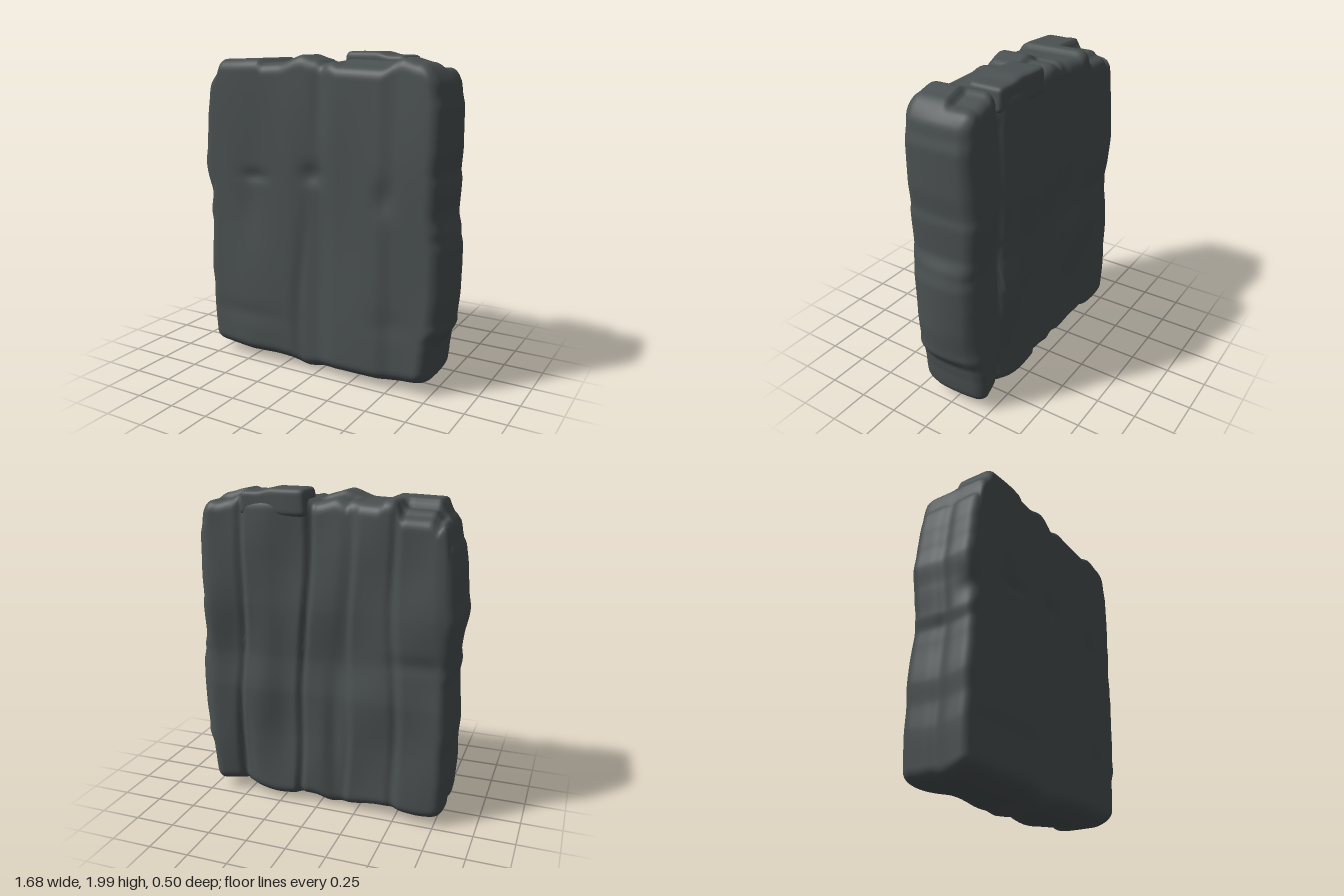
import * as THREE from 'three';
import { mergeVertices } from 'three/addons/utils/BufferGeometryUtils.js';

const { lerp, clamp, smoothstep } = THREE.MathUtils;

// Softly stepped profile through [position, value] pairs
function profile(points) {
  return (t) => {
    let i = 1;
    while (i < points.length - 1 && t > points[i][0]) i++;
    const [a, va] = points[i - 1], [b, vb] = points[i];
    const k = clamp((t - a) / (b - a), 0, 1);
    return lerp(va, vb, lerp(k, smoothstep(k, 0, 1), 0.6));
  };
}

// Outline of the slab
const rightSide = profile([[0.06, 0.745], [0.2, 0.758], [0.3, 0.77], [0.4, 0.82], [0.6, 0.836], [0.9, 0.838],
  [1.0, 0.82], [1.1, 0.788], [1.3, 0.795], [1.36, 0.787], [1.5, 0.798], [1.75, 0.798], [1.84, 0.78], [1.95, 0.765]]);
const leftSide = profile([[0.05, -0.8], [0.35, -0.815], [0.5, -0.81], [0.65, -0.82], [0.9, -0.805], [1.0, -0.8],
  [1.1, -0.815], [1.3, -0.827], [1.46, -0.842], [1.6, -0.825], [1.75, -0.815], [1.95, -0.79]]);
// How much the right side falls away towards front and back
const rightCurve = profile([[0.1, 0.025], [0.3, 0.025], [0.45, 0.055], [0.95, 0.055], [1.1, 0.02], [1.9, 0.016]]);
const topEdge = profile([[-0.81, 1.72], [-0.77, 1.74], [-0.75, 1.83], [-0.71, 1.87], [-0.67, 1.95], [-0.4, 1.958],
  [-0.36, 1.93], [-0.24, 1.935], [-0.1, 1.982], [0, 1.955], [0.04, 1.93], [0.14, 1.955], [0.47, 1.945],
  [0.55, 1.972], [0.66, 1.945], [0.76, 1.89]]);
const bottomEdge = profile([[-0.8, 0.05], [-0.5, 0.035], [-0.3, 0.04], [-0.2, 0.035], [-0.07, 0.006], [0.04, 0.025],
  [0.12, 0.03], [0.4, 0.033], [0.6, 0.05], [0.75, 0.065]]);

// Front and back relief
const frontX = profile([[-0.8, 0.232], [-0.5, 0.243], [-0.2, 0.235], [0.02, 0.215], [0.15, 0.232], [0.42, 0.238],
  [0.52, 0.222], [0.8, 0.222]]);
const backY = profile([[0.1, 0.006], [0.45, 0.006], [0.75, 0.016], [0.98, -0.002], [1.3, 0.012], [1.6, 0.005], [1.9, 0]]);
const backX = profile([[-0.8, 0.215], [-0.7, 0.232], [-0.5, 0.23], [-0.455, 0.208], [-0.42, 0.22], [-0.24, 0.212],
  [-0.2, 0.19], [-0.12, 0.2], [0.02, 0.198], [0.05, 0.18], [0.09, 0.213], [0.3, 0.22], [0.45, 0.213],
  [0.48, 0.18], [0.53, 0.2], [0.7, 0.22], [0.8, 0.205]]);
const dent = (x, y, cx, cy, sx, sy, depth) => depth * Math.exp(-(((x - cx) / sx) ** 2) - ((y - cy) / sy) ** 2);

function frontZ(x, y) {
  const crackX = -0.12 + 0.06 * smoothstep(y, 0.4, 1.2);
  return frontX(x) + 0.004 * Math.sin(5 * y + 2 * x) + 0.004 * Math.sin(9 * x - 3 * y)
    - dent(x, y, -0.43, 1.24, 0.09, 0.04, 0.016) - dent(x, y, -0.48, 1.05, 0.09, 0.25, 0.014)
    - dent(x, y, -0.02, 1.28, 0.07, 0.06, 0.02) - dent(x, y, 0.46, 1.18, 0.06, 0.1, 0.018)
    - dent(x, y, 0.03, 1.75, 0.05, 0.3, 0.012) - dent(x, y, crackX, 0.5, 0.04, 0.5, 0.012)
    - dent(x, y, 0.5, 0.42, 0.12, 0.08, 0.008) - dent(x, y, -0.5, 0.33, 0.25, 0.06, 0.008);
}

function backZ(x, y) {
  // Layers drift sideways a little and deepen towards the foot
  const sx = x + 0.05 * (y - 1.8) * Math.sin(3 * x + 1) + 0.012 * Math.sin(5 * y + 4 * x);
  return -(backX(sx) + backY(y) + 0.007 * Math.sin(6 * y + 9 * x)
    - dent(x, y, 0.22, 0.85, 0.11, 0.5, 0.028) - dent(x, y, -0.1, 0.5, 0.05, 0.4, 0.025)
    - dent(x, y, -0.62, 1.02, 0.2, 0.05, 0.01) - dent(x, y, 0.5, 0.3, 0.05, 0.4, 0.025));
}

// Finely divided box with rounded edges, then reshaped by a rule
function stoneGeometry(w, h, d, segments, radius, rule) {
  const geo = new THREE.BoxGeometry(w, h, d, ...segments);
  geo.deleteAttribute('uv');
  geo.deleteAttribute('normal');
  const pos = geo.attributes.position;
  const half = new THREE.Vector3(w / 2, h / 2, d / 2);
  const hi = half.clone().subScalar(radius), lo = hi.clone().negate();
  const p = new THREE.Vector3(), inner = new THREE.Vector3();
  for (let i = 0; i < pos.count; i++) {
    p.fromBufferAttribute(pos, i);
    inner.copy(p).clamp(lo, hi);
    p.sub(inner).normalize().multiplyScalar(radius).add(inner);
    rule(p, half);
    pos.setXYZ(i, p.x, p.y, p.z);
  }
  const merged = mergeVertices(geo, 1e-5);
  merged.computeVertexNormals();
  return merged;
}

function shapeSlab(p, half) {
  const u = p.x / half.x, v = p.y / half.y, w = p.z / half.z;
  const nominalY = lerp(0.04, 1.95, (v + 1) / 2);
  let x = lerp(leftSide(nominalY), rightSide(nominalY), (u + 1) / 2);
  // One side is convex, the other has a shallow seam and a notch in its front edge
  if (u > 0) x -= rightCurve(nominalY) * u ** 5 * w * w;
  else x += u ** 4 * (0.015 * Math.exp(-(((w - 0.05) / 0.2) ** 2)) + dent(w, nominalY, 1, 1.22, 0.5, 0.1, 0.03));
  // Top steps: ledges along the rear, a hollow in front of the crown block
  let top = topEdge(x);
  const rear = smoothstep(-p.z, 0.01, 0.05);
  const corner = 1 - smoothstep(x, -0.5, -0.45);
  top -= 0.04 * rear * smoothstep(x, 0.5, 0.56) * (1 - smoothstep(x, 0.64, 0.74));
  top -= 0.03 * rear * smoothstep(x, -0.2, -0.17) * (1 - smoothstep(x, 0, 0.06));
  top -= corner * smoothstep(x, -0.74, -0.68) * (0.055 * rear + 0.03 * smoothstep(-p.z, 0.13, 0.17));
  top -= 0.03 * smoothstep(p.z, 0.0, 0.15) * smoothstep(x, 0.08, 0.16) * (1 - smoothstep(x, 0.42, 0.5));
  // Foot is bevelled at the front and ragged towards the rear
  const bottom = bottomEdge(x) + 0.03 * smoothstep(p.z, 0.08, 0.22)
    + 0.014 * smoothstep(-p.z, 0.08, 0.2) * (1 + Math.sin(13 * x + 1));
  const y = lerp(bottom, top, (v + 1) / 2);
  p.set(x, y, lerp(backZ(x, y), frontZ(x, y), (w + 1) / 2));
}

// Loose block: narrower on top, drooping towards one end
function shapeBlock(p, half) {
  const rise = (p.y / half.y + 1) / 2;
  p.x *= 1 - 0.07 * rise * (1 + 0.4 * Math.sin(9 * p.z));
  p.y -= 0.02 * rise * smoothstep(p.x / half.x, 0, 0.5);
  p.z += 0.008 * Math.sin(12 * p.x);
}

export function createModel() {
  const model = new THREE.Group();
  const stone = new THREE.MeshStandardMaterial({ color: 0x4b5152 });
  stone.name = 'dark slate';
  const add = (name, geometry, x = 0, y = 0, z = 0) => {
    const mesh = new THREE.Mesh(geometry, stone);
    mesh.name = name;
    mesh.position.set(x, y, z);
    model.add(mesh);
  };

  add('slab', stoneGeometry(1.62, 1.92, 0.46, [96, 110, 30], 0.07, shapeSlab));
  add('crownBlock', stoneGeometry(0.43, 0.16, 0.225, [24, 12, 14], 0.03, shapeBlock), 0.28, 1.92, -0.11);
  return model;
}
